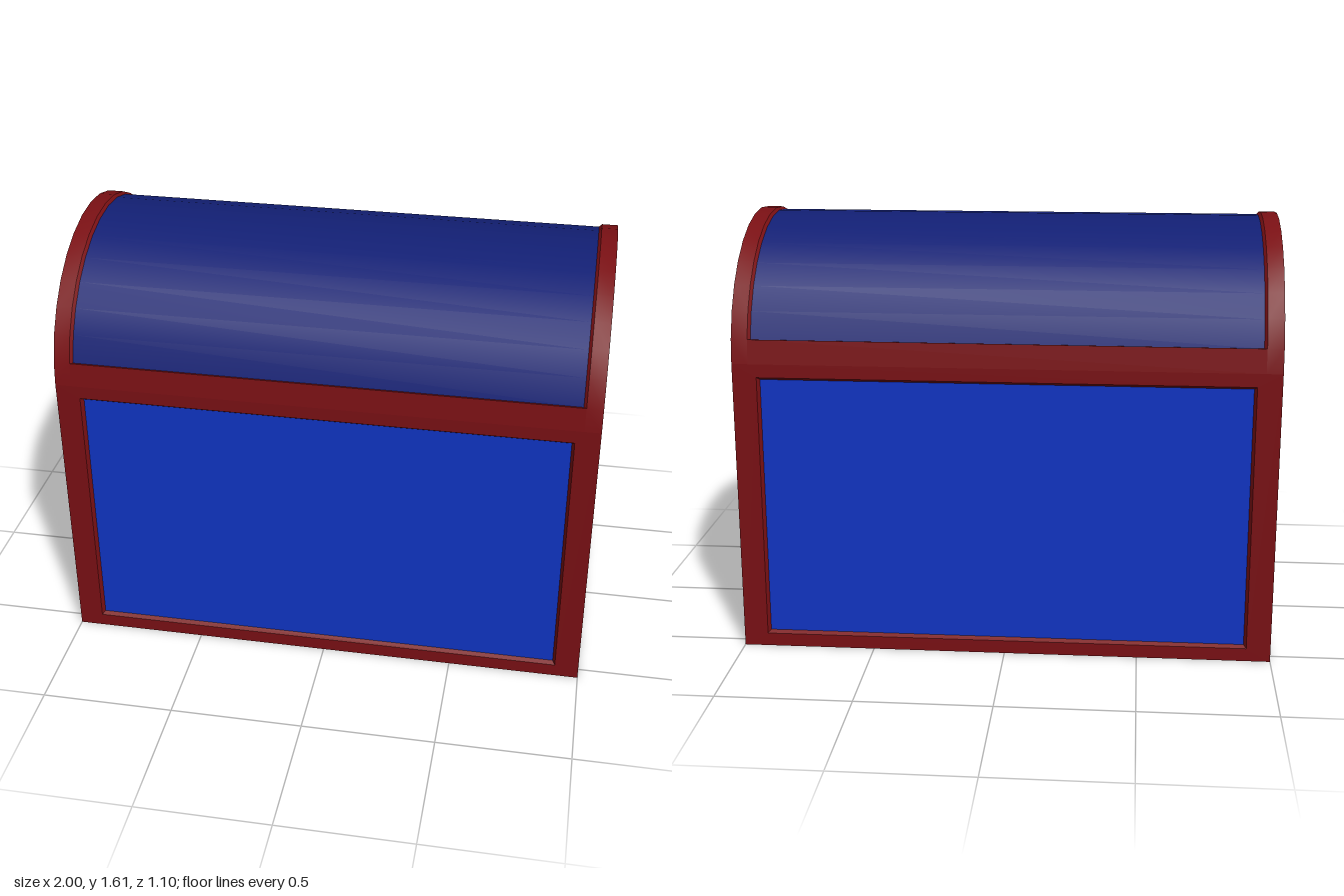
import * as THREE from 'three';
import { mergeGeometries } from 'three/addons/utils/BufferGeometryUtils.js';

const mat = (color) => new THREE.MeshStandardMaterial({ color, side: THREE.DoubleSide });
const W = 1, D = 0.55, H = 1.11, RISE = 0.5; // half width, half depth, body height, lid rise
const RIM = 0.94, LIP = 0.01;                // inner x of the lid rims, lid inset

// Surface between two point rows of equal length
function sheet(a, b, closed = false) {
  const n = a.length, index = [];
  for (let i = 0; i < (closed ? n : n - 1); i++) {
    const j = (i + 1) % n;
    index.push(i, j, n + i, j, n + j, n + i);
  }
  const g = new THREE.BufferGeometry().setFromPoints([...a, ...b]);
  g.setIndex(index);
  g.computeVertexNormals();
  return g;
}

function flat(g) {
  const f = g.toNonIndexed();
  f.computeVertexNormals();
  return f;
}

function addMesh(parent, name, geometry, material) {
  const m = new THREE.Mesh(geometry, material);
  m.name = name;
  parent.add(m);
  return m;
}

// Framed wall facing local +z: flat border, bevelled step and recessed panel
function framedWall(name, outer, opening, frameMat, panelMat) {
  const g = new THREE.Group();
  g.name = name;
  const box = new THREE.Box2().setFromPoints(opening);
  const c = box.getCenter(new THREE.Vector2()), s = box.getSize(new THREE.Vector2());
  const inner = opening.map((p) => new THREE.Vector2(
    c.x + (p.x - c.x) * (1 - 0.02 / s.x), c.y + (p.y - c.y) * (1 - 0.02 / s.y)));
  const at = (pts, z) => pts.map((p) => new THREE.Vector3(p.x, p.y, z));
  addMesh(g, 'frame', mergeGeometries([
    flat(sheet(at(outer, 0), at(opening, 0), true)),
    flat(sheet(at(opening, 0), at(inner, -0.015), true)),
  ]), frameMat);
  addMesh(g, 'panel', new THREE.ShapeGeometry(new THREE.Shape(inner)), panelMat).position.z = -0.015;
  return g;
}

const rect = (hw, y0, y1) => [[-hw, y0], [hw, y0], [hw, y1], [-hw, y1]].map((p) => new THREE.Vector2(...p));

// Lid arch angles; the second and second-last mark the top of the side band
const A0 = Math.asin(0.09 / RISE);
const angles = Array.from({ length: 17 }, (_, i) =>
  i === 1 ? A0 : i === 15 ? Math.PI - A0 : (i * Math.PI) / 16);
const arch = (x, inset = 0, from = 0, to = 17) => angles.slice(from, to).map((t) =>
  new THREE.Vector3(x, H + (RISE - inset) * Math.sin(t), (D - inset) * Math.cos(t)));

export function createModel() {
  const chest = new THREE.Group();
  chest.name = 'chest';
  const red = mat(0x7a1014), blue = mat(0x1034c4), darkBlue = mat(0x121f74);

  // Body walls
  const body = new THREE.Group();
  body.name = 'body';
  chest.add(body);
  [['front', 0], ['left', 1], ['back', 2], ['right', 3]].forEach(([side, q]) => {
    const end = q % 2 === 1, half = end ? D : W;
    const wall = framedWall(side + 'Wall', rect(half, 0, H), rect(half - (end ? 0.045 : 0.09), 0.05, 1.06), red, blue);
    wall.rotation.y = (q * Math.PI) / 2;
    wall.position.set(Math.sin(wall.rotation.y) * W, 0, Math.cos(wall.rotation.y) * D);
    body.add(wall);
  });
  const bottom = addMesh(body, 'bottom', new THREE.PlaneGeometry(2 * W, 2 * D), red);
  bottom.rotation.x = Math.PI / 2;

  // Domed lid
  const lid = new THREE.Group();
  lid.name = 'lid';
  chest.add(lid);
  addMesh(lid, 'barrel', sheet(arch(-RIM + LIP, LIP, 1, 16), arch(RIM - LIP, LIP, 1, 16)), darkBlue);
  [[0, 1], [15, 16]].forEach(([a, b], k) => {
    const edge = k ? 15 : 1;
    addMesh(lid, 'sideBand', sheet(arch(-RIM, 0, a, b + 1), arch(RIM, 0, a, b + 1)), red);
    // Small ledge between the side band and the barrel
    const row = (s) => [...arch(s * RIM, 0, edge, edge + 1), ...arch(s * (RIM - LIP), LIP, edge, edge + 1)];
    addMesh(lid, 'ledge', sheet(row(-1), row(1)), red);
  });

  // Arched ends: rim, step down to the barrel and framed half-round panel
  const outer = angles.map((t) => new THREE.Vector2(D * Math.cos(t), H + RISE * Math.sin(t)));
  const b0 = Math.asin(0.09 / 0.47);
  const opening = angles.map((_, i) => {
    const t = b0 + (i / 16) * (Math.PI - 2 * b0);
    return new THREE.Vector2(0.52 * Math.cos(t), H + 0.47 * Math.sin(t));
  });
  for (const s of [-1, 1]) {
    addMesh(lid, 'rim', sheet(arch(s * RIM), arch(s * W)), red);
    addMesh(lid, 'rimStep', sheet(arch(s * RIM, 0, 1, 16), arch(s * (RIM - LIP), LIP, 1, 16)), red);
    const end = framedWall('lidEnd', outer, opening, red, darkBlue);
    end.rotation.y = (s * Math.PI) / 2;
    end.position.x = s * W;
    lid.add(end);
  }
  return chest;
}
